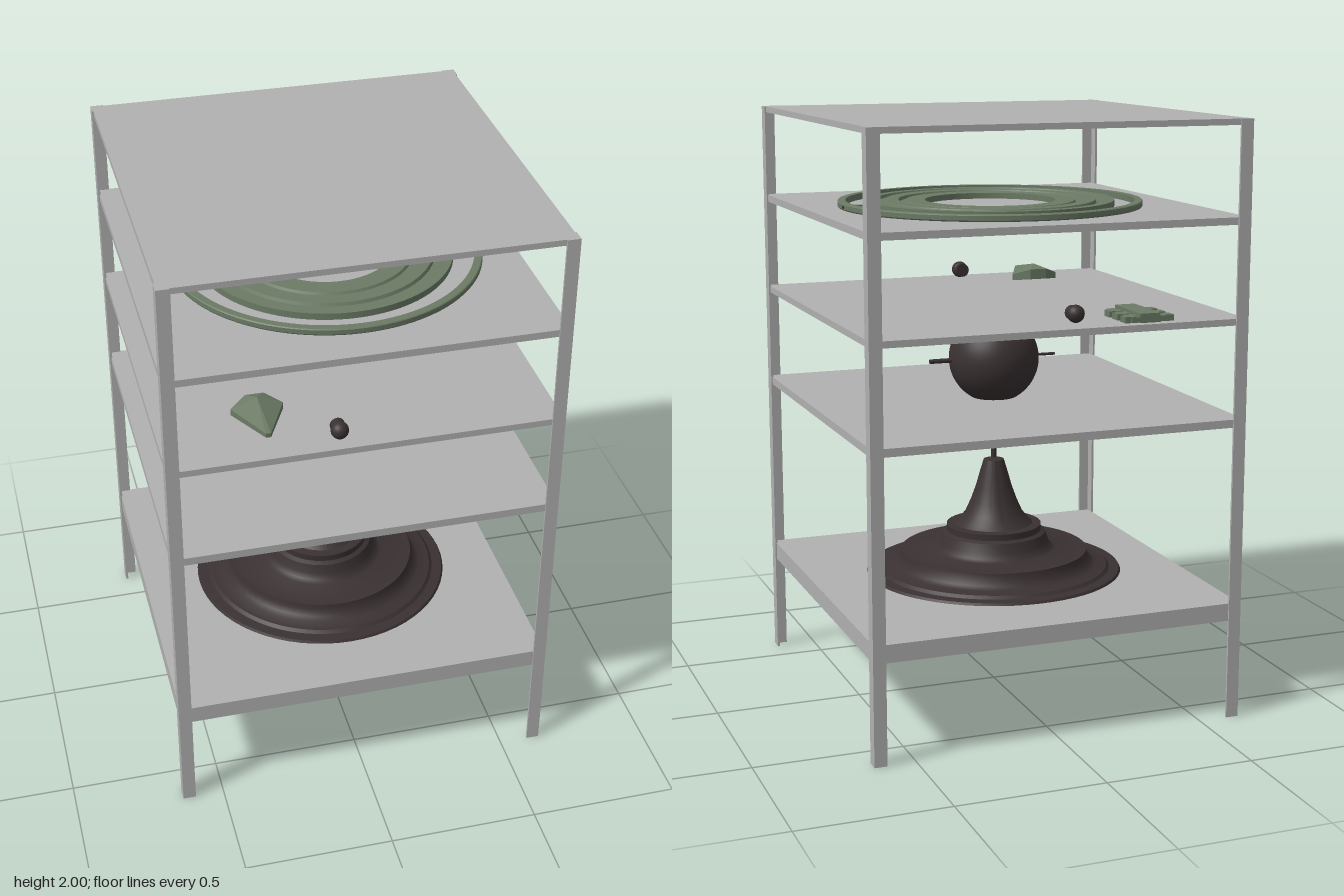
import * as THREE from 'three';
import { toCreasedNormals } from 'three/addons/utils/BufferGeometryUtils.js';
import { ConvexGeometry } from 'three/addons/geometries/ConvexGeometry.js';

const mat = (name, color) => {
  const m = new THREE.MeshStandardMaterial({ color });
  m.name = name;
  return m;
};

export function createModel() {
  const grey = mat('shelfGrey', 0xb1b1b1);
  const dark = mat('darkBrown', 0x3a3132);
  const green = mat('mossGreen', 0x6b7a65);
  const model = new THREE.Group();
  model.name = 'shelfWithObjects';

  const add = (parent, name, geometry, material, x = 0, y = 0, z = 0) => {
    const mesh = new THREE.Mesh(geometry, material);
    mesh.name = name;
    mesh.position.set(x, y, z);
    parent.add(mesh);
    return mesh;
  };
  const group = (name, x = 0, y = 0, z = 0) => {
    const g = new THREE.Group();
    g.name = name;
    g.position.set(x, y, z);
    model.add(g);
    return g;
  };
  const lathe = (pts, seg = 64) => toCreasedNormals(
    new THREE.LatheGeometry(pts.map(([r, y]) => new THREE.Vector2(r, y)), seg), 0.6);

  // Shelves: bottom and top heights
  const shelves = group('shelves');
  for (const [y0, y1] of [[0.34, 0.4], [1.0, 1.027], [1.338, 1.36], [1.664, 1.688], [1.98, 2]])
    add(shelves, 'shelf', new THREE.BoxGeometry(1.27, y1 - y0, 1.27), grey, 0, (y0 + y1) / 2, 0);

  // Angle-section posts, outer corner at 0.64
  const posts = group('posts');
  const o = 0.64, w = 0.043, t = 0.008;
  for (const sx of [-1, 1]) for (const sz of [-1, 1]) {
    add(posts, 'postFace', new THREE.BoxGeometry(w, 2, t), grey, sx * (o - w / 2), 1, sz * (o - t / 2));
    add(posts, 'postSide', new THREE.BoxGeometry(t, 2, w), grey, sx * (o - t / 2), 1, sz * (o - w / 2));
  }

  // Stepped spire on the lowest shelf
  add(model, 'spire', lathe([
    [0, 0.41], [0.445, 0.41], [0.44, 0.418], [0.405, 0.42], [0.395, 0.43], [0.355, 0.434],
    [0.34, 0.445], [0.328, 0.465], [0.325, 0.484], [0.215, 0.486], [0.2, 0.495], [0.19, 0.515],
    [0.18, 0.545], [0.165, 0.552], [0.165, 0.574], [0.135, 0.576], [0.125, 0.585], [0.1, 0.615],
    [0.08, 0.66], [0.062, 0.71], [0.048, 0.76], [0.035, 0.803], [0.01, 0.81], [0.01, 0.868], [0, 0.868],
  ]), dark);

  // Globe with flat foot, axle pins and a small patch
  const globe = group('globe', 0, 1.162, 0);
  const R = 0.155, foot = Math.PI - Math.acos(0.135 / R);
  add(globe, 'ball', new THREE.SphereGeometry(R, 48, 32, 0, Math.PI * 2, 0, foot), dark);
  const pin = (r, len, x) => {
    add(globe, 'pin', new THREE.CylinderGeometry(r, r, len, 16), dark, x, 0, 0).rotation.z = Math.PI / 2;
  };
  pin(0.008, 0.085, 0.19);
  pin(0.005, 0.08, -0.186);
  const patch = add(globe, 'patch', new THREE.SphereGeometry(R + 0.001, 16, 4, 0, Math.PI * 2, 0, 0.19), green);
  patch.quaternion.setFromUnitVectors(new THREE.Vector3(0, 1, 0), new THREE.Vector3(0.071, 0.108, -0.085).normalize());

  // Concentric ring plate, with thin outer hoop and bridge
  const rings = group('ringPlate', 0.015, 1.688, -0.004);
  add(rings, 'steppedDisc', lathe([
    [0.22, 0], [0.42, 0], [0.42, 0.022], [0.39, 0.022], [0.385, 0.012], [0.36, 0.012], [0.355, 0.022],
    [0.31, 0.022], [0.305, 0.012], [0.29, 0.012], [0.285, 0.02], [0.22, 0.02], [0.22, 0],
  ], 96), green);
  add(rings, 'outerHoop', lathe([
    [0.488, 0], [0.512, 0], [0.515, 0.004], [0.515, 0.019], [0.512, 0.022], [0.488, 0.022], [0.488, 0],
  ], 96), green);
  add(rings, 'bridge', new THREE.BoxGeometry(0.08, 0.014, 0.014), green, 0.455, 0.011, 0);
  add(rings, 'hoopPin', new THREE.CylinderGeometry(0.006, 0.006, 0.01, 12), dark, 0.512, 0.011, 0)
    .rotation.z = Math.PI / 2;

  // Small knobs at the front and back of the middle shelf
  for (const [z, dir] of [[0.575, -1], [-0.53, 1]]) {
    const knob = group('knob', -0.08, 1.39, z);
    add(knob, 'knobBall', new THREE.SphereGeometry(0.029, 20, 14), dark);
    add(knob, 'knobCollar', new THREE.CylinderGeometry(0.024, 0.024, 0.02, 16), dark, 0, 0, dir * 0.024)
      .rotation.x = Math.PI / 2;
  }

  // Faceted arrowhead at the front
  const pts = [[0, 0.065, 0.385], [0, 0.012, 0.36]];
  for (const s of [-1, 1]) pts.push(
    [s * 0.008, 0.037, 0.55], [s * 0.008, 0.022, 0.55], [s * 0.085, 0.03, 0.38],
    [s * 0.085, 0.008, 0.38], [s * 0.03, 0.05, 0.34], [s * 0.03, 0.014, 0.34]);
  add(model, 'arrowhead', new ConvexGeometry(pts.map(p => new THREE.Vector3(...p))), green, -0.3, 1.36, 0);

  // Flat slatted piece at the back
  const slats = group('slattedPiece', -0.3, 1.36, -0.52);
  add(slats, 'body', new THREE.BoxGeometry(0.07, 0.03, 0.2), green, 0, 0.018, 0);
  add(slats, 'plate', new THREE.BoxGeometry(0.13, 0.016, 0.2), green, 0, 0.014, 0);
  for (const z of [-0.075, -0.012, 0.05])
    add(slats, 'slat', new THREE.BoxGeometry(0.17, 0.02, 0.04), green, 0, 0.014, z);

  return model;
}
